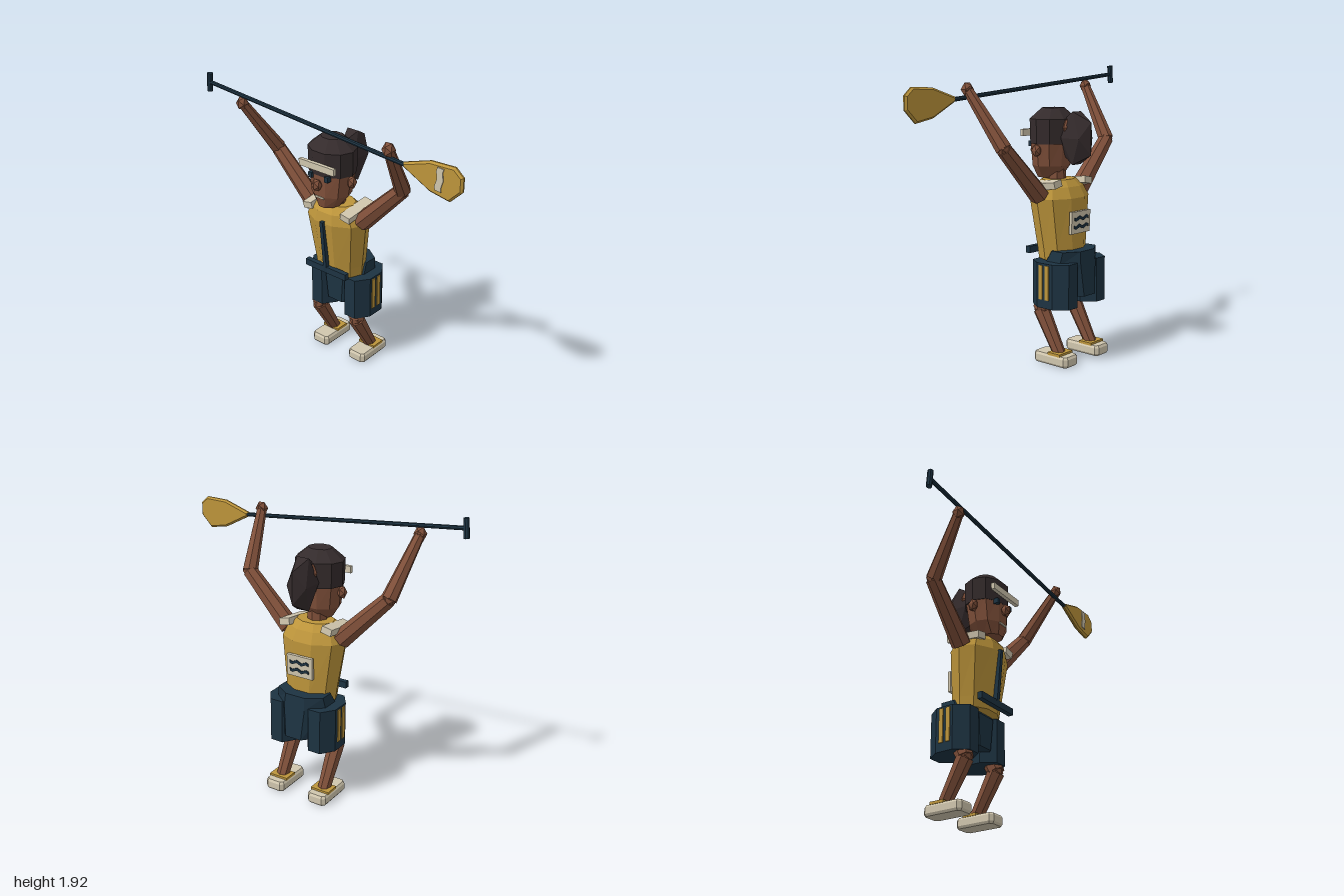
import * as THREE from 'three';

const mat = (name, color) => {
  const m = new THREE.MeshStandardMaterial({ color });
  m.name = name;
  return m;
};
const V = (x, y, z) => new THREE.Vector3(x, y, z);

// Faceted mesh: every face gets its own normal
function add(parent, name, geometry, material, x = 0, y = 0, z = 0) {
  const g = geometry.index ? geometry.toNonIndexed() : geometry;
  g.computeVertexNormals();
  const mesh = new THREE.Mesh(g, material);
  mesh.name = name;
  mesh.position.set(x, y, z);
  parent.add(mesh);
  return mesh;
}

const box = (w, h, d) => new THREE.BoxGeometry(w, h, d);
const ball = (rx, ry, rz) => new THREE.IcosahedronGeometry(1, 0).scale(rx, ry, rz);

// Closed loft through rings [y, radiusX, radiusZ, centreZ], flat side to the front
function loft(rings, n) {
  const pos = [], idx = [];
  for (const [y, rx, rz, cz] of rings)
    for (let i = 0; i < n; i++) {
      const a = ((i + 0.5) / n) * Math.PI * 2;
      pos.push(Math.sin(a) * rx, y, cz + Math.cos(a) * rz);
    }
  const last = rings.length - 1, bottom = rings.length * n, top = bottom + 1;
  pos.push(0, rings[0][0], rings[0][3], 0, rings[last][0], rings[last][3]);
  for (let i = 0; i < n; i++) {
    const k = (i + 1) % n;
    for (let j = 0; j < last; j++) {
      const a = j * n + i, b = j * n + k;
      idx.push(a, b, b + n, a, b + n, a + n);
    }
    idx.push(bottom, k, i, top, last * n + i, last * n + k);
  }
  const g = new THREE.BufferGeometry();
  g.setAttribute('position', new THREE.Float32BufferAttribute(pos, 3));
  g.setIndex(idx);
  return g;
}

// Tapered rod between two points
function rod(parent, name, a, b, ra, rb, material, n = 7) {
  const dir = b.clone().sub(a), len = dir.length();
  const m = add(parent, name, new THREE.CylinderGeometry(rb, ra, len, n), material);
  m.position.copy(a).add(b).multiplyScalar(0.5);
  m.quaternion.setFromUnitVectors(V(0, 1, 0), dir.normalize());
  return m;
}

// Outline extruded along z and centred, with chamfered rims
function plate(points, depth, bevel = 0, inset = bevel) {
  const shape = new THREE.Shape(points.map(([x, y]) => new THREE.Vector2(x, y)));
  const g = new THREE.ExtrudeGeometry(shape, {
    depth: depth - 2 * bevel, bevelEnabled: bevel > 0, bevelThickness: bevel,
    bevelSize: inset, bevelOffset: -inset, bevelSegments: 1,
  });
  return g.translate(0, 0, -depth / 2 + bevel);
}

// Wavy strip outline along x
function wave(length, height, amp, steps) {
  const up = [], down = [];
  for (let i = 0; i <= steps; i++) {
    const x = (i / steps - 0.5) * length, y = Math.sin(i * Math.PI / 2) * amp;
    down.push([x, y - height / 2]);
    up.unshift([x, y + height / 2]);
  }
  return [...down, ...up];
}

export function createModel() {
  const skin = mat('skin brown', 0x80503a);
  const gold = mat('gold', 0xbd953b);
  const navy = mat('navy', 0x1d3342);
  const cream = mat('cream', 0xd0c6ae);
  const hair = mat('dark hair', 0x342b2c);

  const root = new THREE.Group();
  root.name = 'paddler';
  const body = new THREE.Group();
  body.name = 'body';
  body.position.x = -0.095;
  root.add(body);

  // Torso and vest details
  add(body, 'vest', loft([
    [0.68, 0.175, 0.135, -0.035], [0.75, 0.182, 0.142, -0.032],
    [1.08, 0.228, 0.165, -0.01], [1.15, 0.195, 0.14, 0], [1.195, 0.13, 0.1, 0],
  ], 10), gold);
  add(body, 'zip', box(0.026, 0.39, 0.03), navy, 0, 0.9, 0.135).rotation.x = 0.09;
  add(body, 'belt', box(0.345, 0.045, 0.035), navy, 0, 0.728, 0.115);
  const patch = new THREE.Group();
  patch.name = 'backPatch';
  patch.position.set(0, 0.925, -0.182);
  patch.rotation.x = -0.04;
  body.add(patch);
  add(patch, 'patchPlate', box(0.19, 0.145, 0.02), cream);
  for (const y of [-0.027, 0.027])
    add(patch, 'patchWave', plate(wave(0.14, 0.018, 0.008, 8), 0.008), navy, 0, y, -0.013);

  // Neck, head and face
  add(body, 'neck', new THREE.CylinderGeometry(0.065, 0.07, 0.12, 8), skin, 0, 1.2, 0.02);
  add(body, 'head', loft([
    [1.2, 0.075, 0.085, 0.075], [1.28, 0.135, 0.122, 0.056],
    [1.46, 0.162, 0.135, 0.048], [1.54, 0.15, 0.125, 0.045],
  ], 10), skin);
  add(body, 'hairCap', loft([
    [1.425, 0.163, 0.138, 0.046], [1.585, 0.167, 0.142, 0.046], [1.655, 0.08, 0.07, 0.045],
  ], 10), hair);
  add(body, 'hairBun', ball(0.083, 0.2, 0.138), hair, 0, 1.465, -0.152);
  add(body, 'hairTie', new THREE.TorusGeometry(0.055, 0.018, 5, 8), skin, 0, 1.53, -0.105);
  add(body, 'headband', box(0.285, 0.045, 0.025), cream, 0, 1.492, 0.193);
  add(body, 'nose', ball(0.036, 0.045, 0.034), skin, 0, 1.37, 0.2);
  add(body, 'mouth', box(0.07, 0.012, 0.012), cream, 0, 1.275, 0.172);

  for (const s of [-1, 1]) {
    const side = s > 0 ? 'left' : 'right';
    add(body, side + 'Eye', box(0.028, 0.036, 0.05), navy, s * 0.066, 1.418, 0.164);
    add(body, side + 'Ear', ball(0.032, 0.046, 0.036), skin, s * 0.16, 1.385, 0.05);

    const strap = add(body, side + 'ShoulderStrap', box(0.075, 0.045, 0.25), cream, s * 0.157, 1.165, -0.005);
    strap.rotation.set(0.12, 0, -s * 0.2);

    // Raised arm
    const shoulder = V(s * 0.2, 1.1, -0.01), elbow = V(s * 0.517, 1.42, 0), hand = V(s * 0.586, 1.78, 0.24);
    rod(body, side + 'UpperArm', shoulder, elbow, 0.066, 0.05, skin);
    rod(body, side + 'Forearm', elbow, hand, 0.052, 0.033, skin);
    add(body, side + 'Elbow', ball(0.048, 0.048, 0.048), skin, elbow.x, elbow.y, elbow.z);
    add(body, side + 'Hand', ball(0.042, 0.05, 0.042), skin, hand.x, hand.y, hand.z);

    // Shorts leg with two side stripes
    add(body, side + 'ShortsLeg', loft([
      [0.38, 0.115, 0.163, -0.095], [0.675, 0.115, 0.163, -0.095],
    ], 8).translate(s * 0.145, 0, 0), navy);
    for (const z of [-0.065, -0.117])
      add(body, side + 'ShortsStripe', box(0.008, 0.225, 0.03), gold, s * 0.254, 0.55, z);

    // Bent leg and shoe
    const knee = V(s * 0.165, 0.345, 0.005), ankle = V(s * 0.165, 0.06, -0.155);
    rod(body, side + 'Thigh', V(s * 0.15, 0.56, -0.08), knee, 0.075, 0.056, skin);
    rod(body, side + 'Shin', knee, ankle, 0.056, 0.042, skin);
    add(body, side + 'Knee', ball(0.05, 0.05, 0.05), skin, knee.x, knee.y, knee.z);
    add(body, side + 'AnkleBand', box(0.135, 0.018, 0.1), gold, s * 0.165, 0.078, -0.155);
    const w = 0.07, l = 0.14, c = 0.022;
    const sole = [[-w + c, -l], [w - c, -l], [w, -l + c], [w, l - c], [w - c, l], [-w + c, l], [-w, l - c], [-w, -l + c]];
    add(body, side + 'Shoe', plate(sole, 0.07, 0.015, 0.01).rotateX(-Math.PI / 2), cream, s * 0.165, 0.038, -0.12);
  }

  // Seat of the shorts
  add(body, 'shortsSeat', loft([
    [0.45, 0.15, 0.165, -0.115], [0.66, 0.2, 0.16, -0.105], [0.745, 0.185, 0.12, -0.135],
  ], 8), navy);

  // Paddle held overhead
  const paddle = new THREE.Group();
  paddle.name = 'paddle';
  paddle.position.z = 0.24;
  root.add(paddle);
  const end = V(-0.975, 1.858, 0), neck = V(0.63, 1.72, 0);
  rod(paddle, 'shaft', end, neck, 0.014, 0.014, navy, 8);
  rod(paddle, 'gripBar', V(-0.98, 1.797, 0), V(-0.97, 1.919, 0), 0.019, 0.019, navy, 8);
  add(paddle, 'blade', plate([
    [0.6, 1.71], [0.785, 1.615], [0.92, 1.59], [1, 1.67], [1, 1.755], [0.945, 1.803], [0.785, 1.798], [0.6, 1.738],
  ], 0.036, 0.013, 0.012), gold);
  const mark = add(paddle, 'bladeStripe', plate(wave(0.14, 0.042, 0.005, 6), 0.008), cream, 0.855, 1.71, 0.02);
  mark.rotation.z = Math.PI / 2 - 0.085;

  return root;
}
